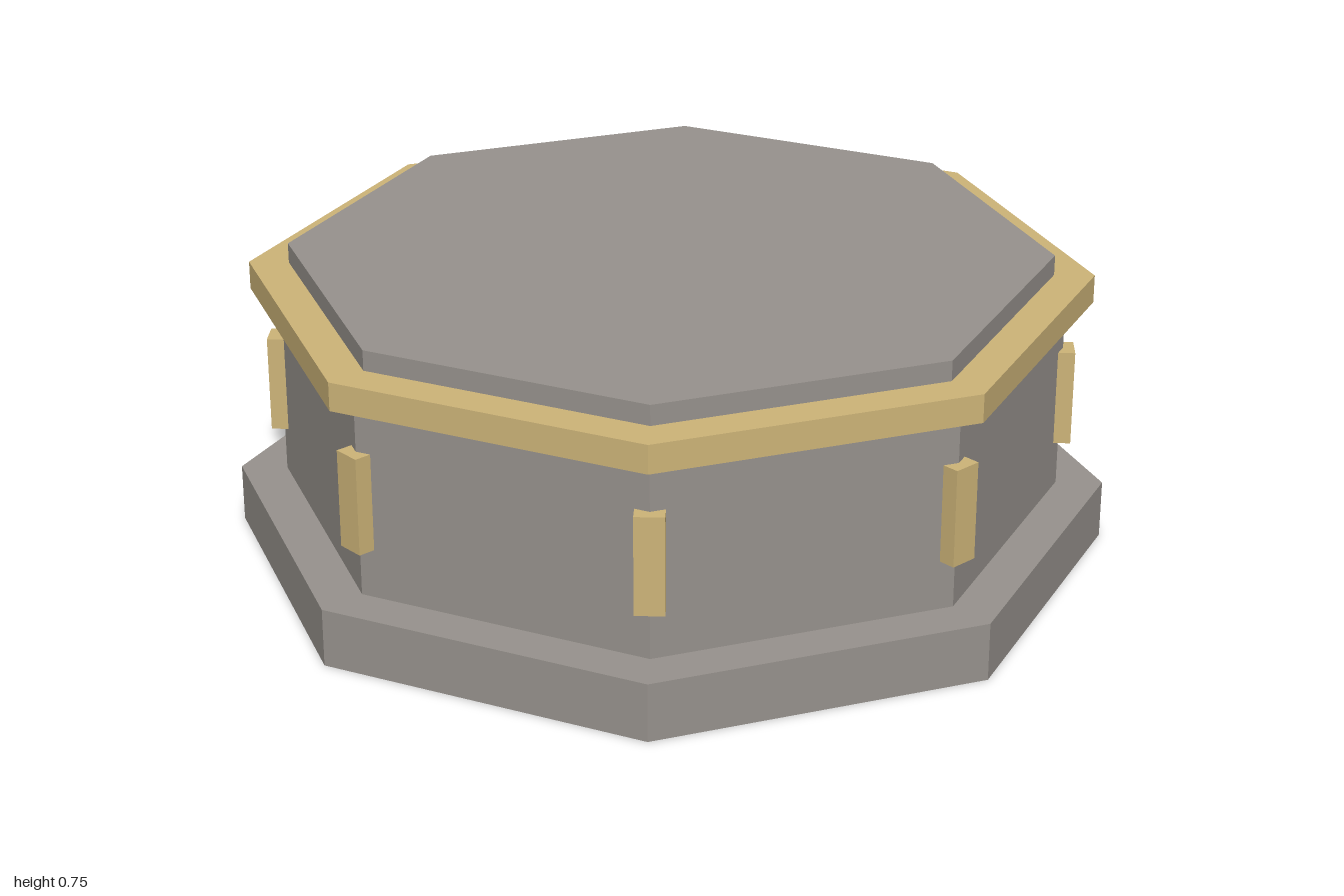
import * as THREE from 'three';

const SIDES = 8;
const STEP = (Math.PI * 2) / SIDES;

export function createModel() {
  const stone = new THREE.MeshStandardMaterial({ color: 0x97928d });
  stone.name = 'warm grey stone';
  const gold = new THREE.MeshStandardMaterial({ color: 0xcdb478 });
  gold.name = 'pale gold';

  const model = new THREE.Group();
  model.name = 'octagonalPedestal';

  // Octagonal slab with a flat side to the front; apothem is centre to flat side
  function slab(name, apothem, y0, y1, material) {
    const radius = apothem / Math.cos(STEP / 2);
    const geometry = new THREE.CylinderGeometry(radius, radius, y1 - y0, SIDES).toNonIndexed();
    geometry.rotateY(STEP / 2);
    geometry.computeVertexNormals(); // flat facets
    const mesh = new THREE.Mesh(geometry, material);
    mesh.name = name;
    mesh.position.y = (y0 + y1) / 2;
    model.add(mesh);
  }

  slab('base', 1, 0, 0.145, stone);
  slab('drum', 0.893, 0.145, 0.63, stone);
  slab('trimBand', 0.955, 0.63, 0.7, gold);
  slab('topPlate', 0.864, 0.7, 0.75, stone);

  // Upright gold block on each corner of the drum
  const blocks = new THREE.Group();
  blocks.name = 'cornerBlocks';
  const blockGeometry = new THREE.BoxGeometry(0.07, 0.242, 0.05);
  for (let i = 0; i < SIDES; i++) {
    const angle = (i + 0.5) * STEP;
    const block = new THREE.Mesh(blockGeometry, gold);
    block.name = 'cornerBlock';
    block.position.set(Math.sin(angle) * 0.969, 0.388, Math.cos(angle) * 0.969);
    block.rotation.y = angle;
    blocks.add(block);
  }
  model.add(blocks);

  return model;
}
